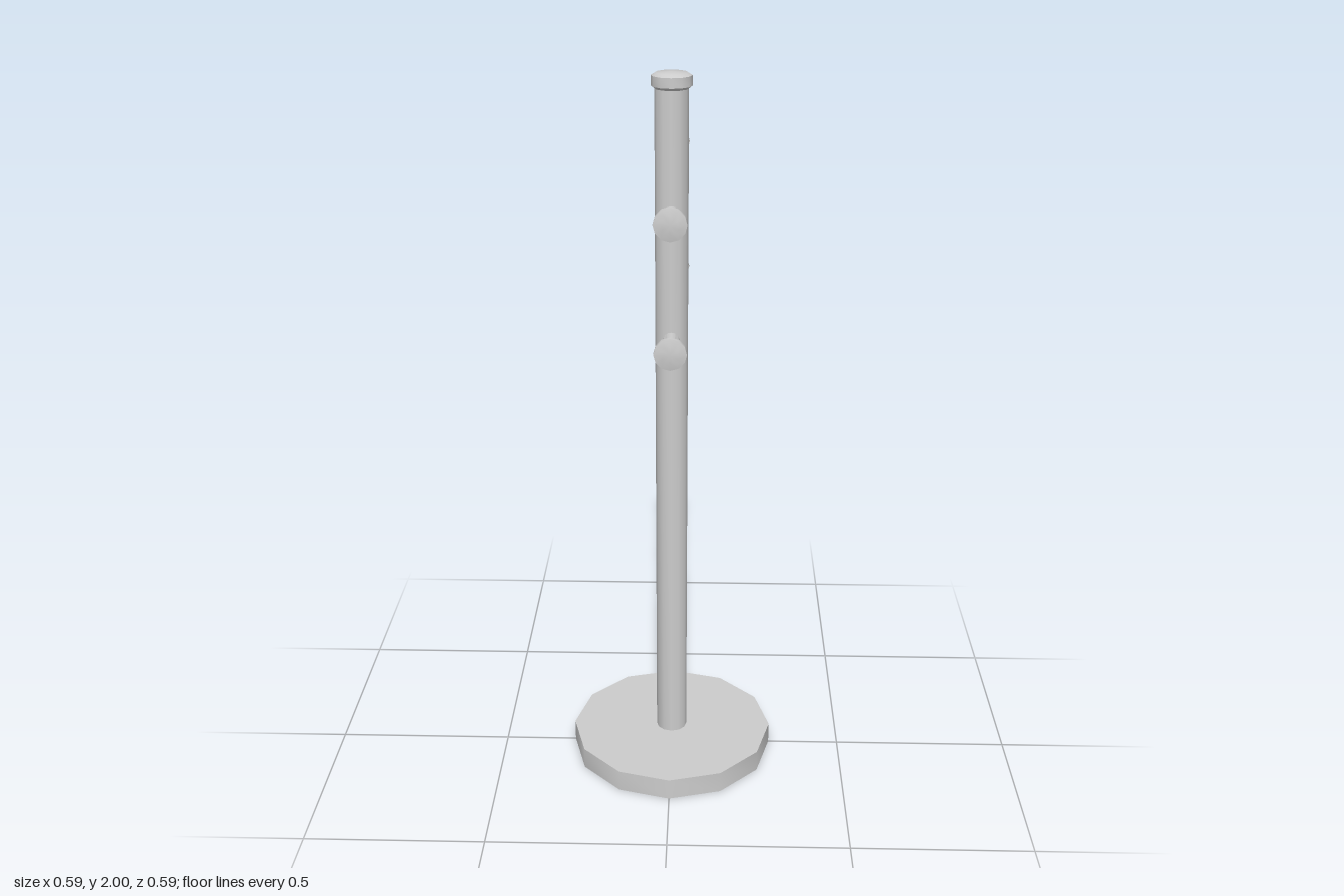
import * as THREE from 'three';
import { toCreasedNormals } from 'three/addons/utils/BufferGeometryUtils.js';

const SIDES = 12;
const POLE_RADIUS = 0.044;
const BASE_TOP = 0.062;

// Turned shell from [radius, height] pairs, listed bottom to top
function turned(name, profile, material) {
  const points = profile.map(([r, y]) => new THREE.Vector2(r, y));
  const geometry = toCreasedNormals(new THREE.LatheGeometry(points, SIDES), 0.6);
  const mesh = new THREE.Mesh(geometry, material);
  mesh.name = name;
  return mesh;
}

export function createModel() {
  const group = new THREE.Group();
  group.name = 'coatStand';
  const material = new THREE.MeshStandardMaterial({ color: 0xcccccc, side: THREE.DoubleSide });

  // Foot: a hollow shell, open underneath, with a hole where the pole meets it
  group.add(turned('base', [
    [0.293, 0], [0.293, BASE_TOP], [POLE_RADIUS, BASE_TOP],
  ], material));

  // Hollow upright pole, rising from the top of the foot
  group.add(turned('pole', [[POLE_RADIUS, BASE_TOP], [POLE_RADIUS, 1.957]], material));

  // Cap with a bevelled underside and a low domed top
  group.add(turned('cap', [
    [POLE_RADIUS, 1.957], [0.053, 1.964], [0.053, 1.99], [0.042, 1.997], [0, 2],
  ], material));

  // Pegs with disc ends, alternating between back and front
  [[1.792, -1], [1.643, 1], [1.447, -1], [1.298, 1]].forEach(([y, dir]) => {
    const peg = new THREE.Group();
    peg.name = dir > 0 ? 'frontPeg' : 'backPeg';
    peg.add(turned('pegStem', [[0.022, 0.038], [0.022, 0.148]], material));
    peg.add(turned('pegDisc', [
      [0.022, 0.148], [0.044, 0.148], [0.044, 0.16], [0.022, 0.1645], [0, 0.165],
    ], material));
    peg.position.y = y;
    peg.rotation.x = dir * Math.PI / 2;
    group.add(peg);
  });

  return group;
}
